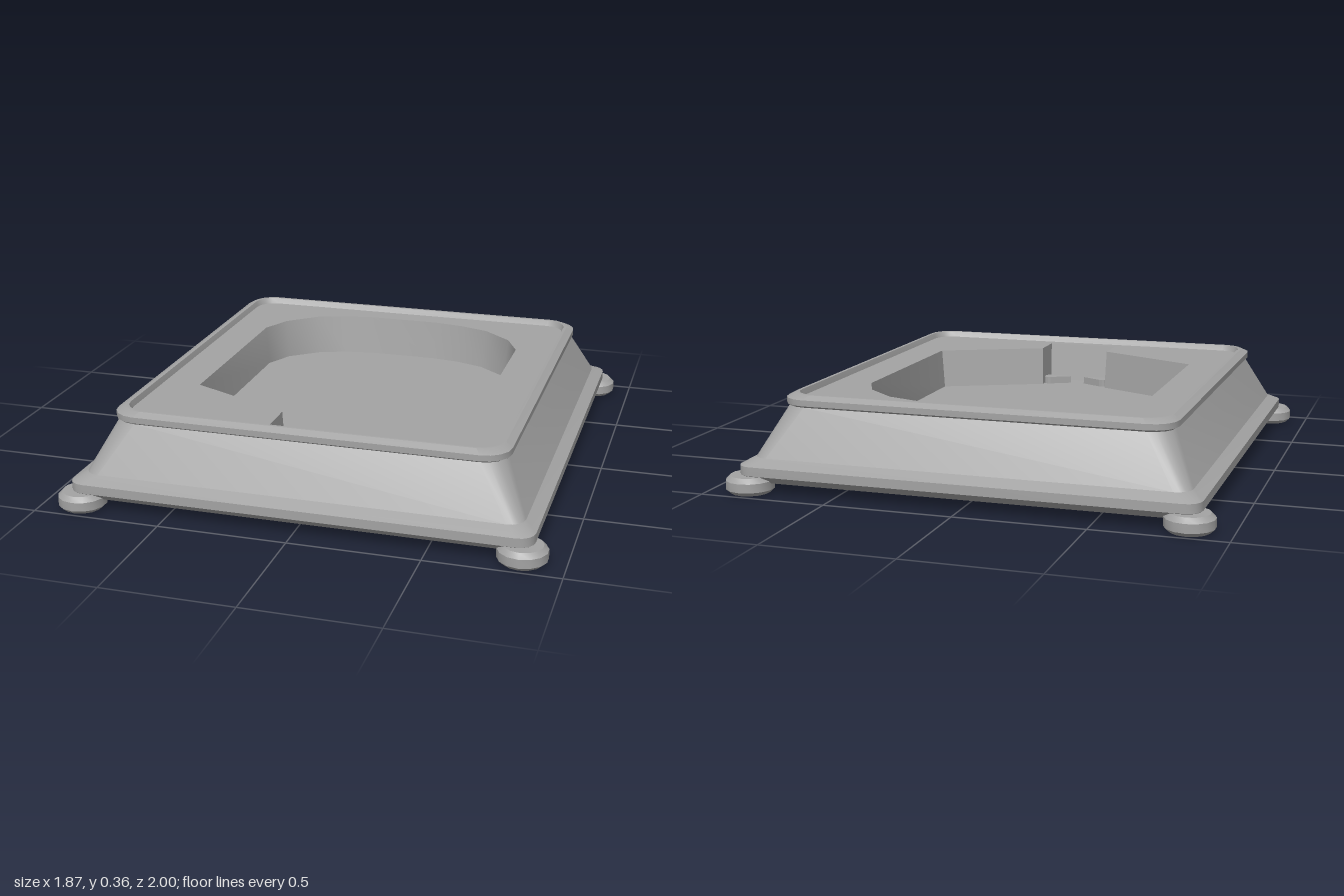
import * as THREE from 'three';
import { toCreasedNormals } from 'three/addons/utils/BufferGeometryUtils.js';

const CREASE = 0.5;

// Rounded rectangle in the x-z plane, as [x, z] points
function roundedRect(hx, hz, r, steps = 4) {
  const pts = [];
  [[1, 1], [-1, 1], [-1, -1], [1, -1]].forEach(([sx, sz], c) => {
    for (let i = 0; i <= steps; i++) {
      const a = (c + i / steps) * Math.PI / 2;
      pts.push([sx * (hx - r) + r * Math.cos(a), sz * (hz - r) + r * Math.sin(a)]);
    }
  });
  return pts;
}

// Mirror a half outline (back to front, +x side) into a closed loop
const mirrored = (half) => [...half, ...half.map(([x, z]) => [-x, z]).reverse()];

// Skin between closed outlines, each { y, pts }
function loft(rings) {
  const n = rings[0].pts.length;
  const pos = [], idx = [];
  rings.forEach(({ y, pts }) => pts.forEach(([x, z]) => pos.push(x, y, z)));
  for (let k = 0; k < rings.length - 1; k++) {
    for (let i = 0; i < n; i++) {
      const j = (i + 1) % n;
      const a = k * n + i, b = k * n + j, d = a + n, c = b + n;
      idx.push(a, d, c, a, c, b);
    }
  }
  const g = new THREE.BufferGeometry();
  g.setAttribute('position', new THREE.Float32BufferAttribute(pos, 3));
  g.setIndex(idx);
  return toCreasedNormals(g, CREASE);
}

// Flat face at height y, facing up or down, with an optional hole
function flatFace(pts, y, up = true, hole = null) {
  const s = up ? -1 : 1;
  const v = (list) => list.map(([x, z]) => new THREE.Vector2(x, s * z));
  const shape = new THREE.Shape(v(pts));
  if (hole) shape.holes.push(new THREE.Path(v(hole)));
  const g = new THREE.ShapeGeometry(shape);
  g.rotateX(s * Math.PI / 2);
  g.translate(0, y, 0);
  return g;
}

export function createModel() {
  const group = new THREE.Group();
  const grey = new THREE.MeshStandardMaterial({ color: 0xa3a3a3 });
  grey.name = 'grey';
  const add = (name, geometry) => {
    const mesh = new THREE.Mesh(geometry, grey);
    mesh.name = name;
    group.add(mesh);
    return mesh;
  };
  const ring = (y, hx, hz, r) => ({ y, pts: roundedRect(hx, hz, r) });

  // Base flange with bevelled edges, and the underside
  const bottom = ring(0.04, 0.85, 0.915, 0.05);
  add('baseFlange', loft([
    bottom,
    ring(0.07, 0.885, 0.95, 0.06),
    ring(0.105, 0.885, 0.95, 0.06),
    ring(0.13, 0.84, 0.9, 0.06),
  ]));
  add('underside', flatFace(bottom.pts, bottom.y, false));

  // Sloping side walls
  add('slopedWalls', loft([
    ring(0.13, 0.84, 0.9, 0.06),
    ring(0.315, 0.75, 0.81, 0.09),
  ]));

  // Raised rim around the top
  const rimInner = ring(0.337, 0.715, 0.77, 0.08);
  add('rim', loft([
    ring(0.315, 0.75, 0.81, 0.09),
    ring(0.322, 0.762, 0.82, 0.1),
    ring(0.345, 0.762, 0.82, 0.1),
    ring(0.36, 0.735, 0.793, 0.09),
    ring(0.36, 0.722, 0.78, 0.085),
    rimInner,
  ]));

  // Recess with an arched back and a notch at the front
  const recessTop = mirrored([
    [0.145, -0.68], [0.27, -0.66], [0.39, -0.62], [0.51, -0.515], [0.565, -0.395],
    [0.565, 0.39], [0.15, 0.585], [0.15, 0.725],
  ]);
  const recessFloor = mirrored([
    [0.14, -0.655], [0.26, -0.637], [0.375, -0.597], [0.495, -0.5], [0.55, -0.385],
    [0.55, 0.38], [0.145, 0.57], [0.145, 0.7],
  ]);
  const floorY = 0.175;
  add('topPlate', flatFace(rimInner.pts, rimInner.y, true, recessTop));
  add('recessWalls', loft([{ y: rimInner.y, pts: recessTop }, { y: floorY, pts: recessFloor }]));
  add('recessFloor', flatFace(recessFloor, floorY));

  // Pair of small pointed tabs in the notch
  for (const [side, name] of [[1, 'leftTab'], [-1, 'rightTab']]) {
    const s = new THREE.Shape();
    s.moveTo(side * 0.148, -0.62);
    s.quadraticCurveTo(side * 0.15, -0.58, side * 0.115, -0.59);
    s.lineTo(side * 0.03, -0.635);
    s.quadraticCurveTo(side * 0.05, -0.648, side * 0.14, -0.645);
    s.closePath();
    const g = new THREE.ExtrudeGeometry(s, { depth: 0.03, bevelEnabled: false, curveSegments: 5 });
    g.rotateX(-Math.PI / 2);
    g.translate(0, floorY, 0);
    add(name, g);
  }

  // Four round feet
  const footProfile = [
    [0, 0], [0.075, 0], [0.0925, 0.016], [0.0925, 0.05], [0.075, 0.068], [0, 0.068],
  ].map(([x, y]) => new THREE.Vector2(x, y));
  const footGeometry = toCreasedNormals(new THREE.LatheGeometry(footProfile, 14), CREASE);
  for (const [sx, xName] of [[1, 'Left'], [-1, 'Right']]) {
    for (const [sz, zName] of [[1, 'front'], [-1, 'back']]) {
      add(zName + xName + 'Foot', footGeometry).position.set(sx * 0.843, 0, sz * 0.9075);
    }
  }

  return group;
}
